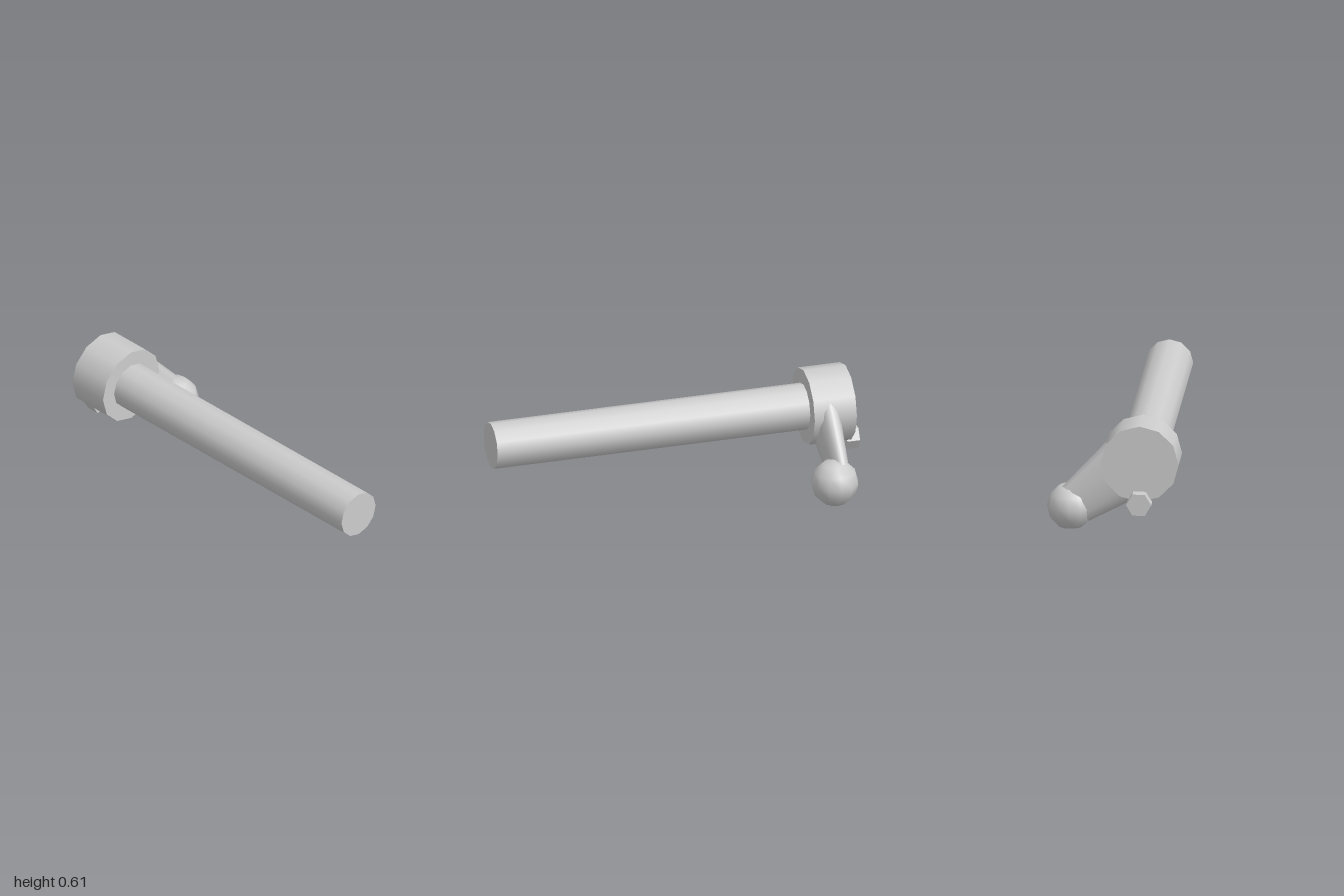
import * as THREE from 'three';

export function createModel() {
  const model = new THREE.Group();
  const steel = new THREE.MeshStandardMaterial({ color: 0xcccccc });

  function add(name, geometry, x, y, z) {
    const mesh = new THREE.Mesh(geometry, steel);
    mesh.name = name;
    mesh.position.set(x, y, z);
    model.add(mesh);
    return mesh;
  }

  // Cylinder lying along x between two x positions
  function bar(name, radius, sides, x0, x1, y, z) {
    const geometry = new THREE.CylinderGeometry(radius, radius, x1 - x0, sides);
    geometry.rotateZ(-Math.PI / 2);
    return add(name, geometry, (x0 + x1) / 2, y, z);
  }

  const axisY = 0.408, axisZ = 0.147;
  bar('boltRod', 0.124, 12, -0.72, 1, axisY, axisZ);
  bar('boltCollar', 0.205, 12, -0.94, -0.71, axisY, axisZ);

  // Hexagonal stud, faceted by splitting shared corners
  const stud = bar('hexStud', 0.066, 6, -1, -0.93, 0.202, axisZ);
  stud.geometry = stud.geometry.toNonIndexed();
  stud.geometry.computeVertexNormals();

  // Flattened tapering arm running from the collar down to the knob
  const start = new THREE.Vector3(-0.806, 0.374, 0.098);
  const end = new THREE.Vector3(-0.797, 0.146, -0.2);
  const arm = new THREE.CylinderGeometry(0.115, 0.18, start.distanceTo(end), 12);
  arm.scale(0.43, 1, 1);
  const middle = start.clone().lerp(end, 0.5);
  const handle = add('handleArm', arm, middle.x, middle.y, middle.z);
  handle.rotation.x = Math.atan2(end.z - start.z, end.y - start.y);

  // Ball knob
  add('handleKnob', new THREE.SphereGeometry(0.126, 12, 6), -0.767, 0.126, -0.228);

  return model;
}
